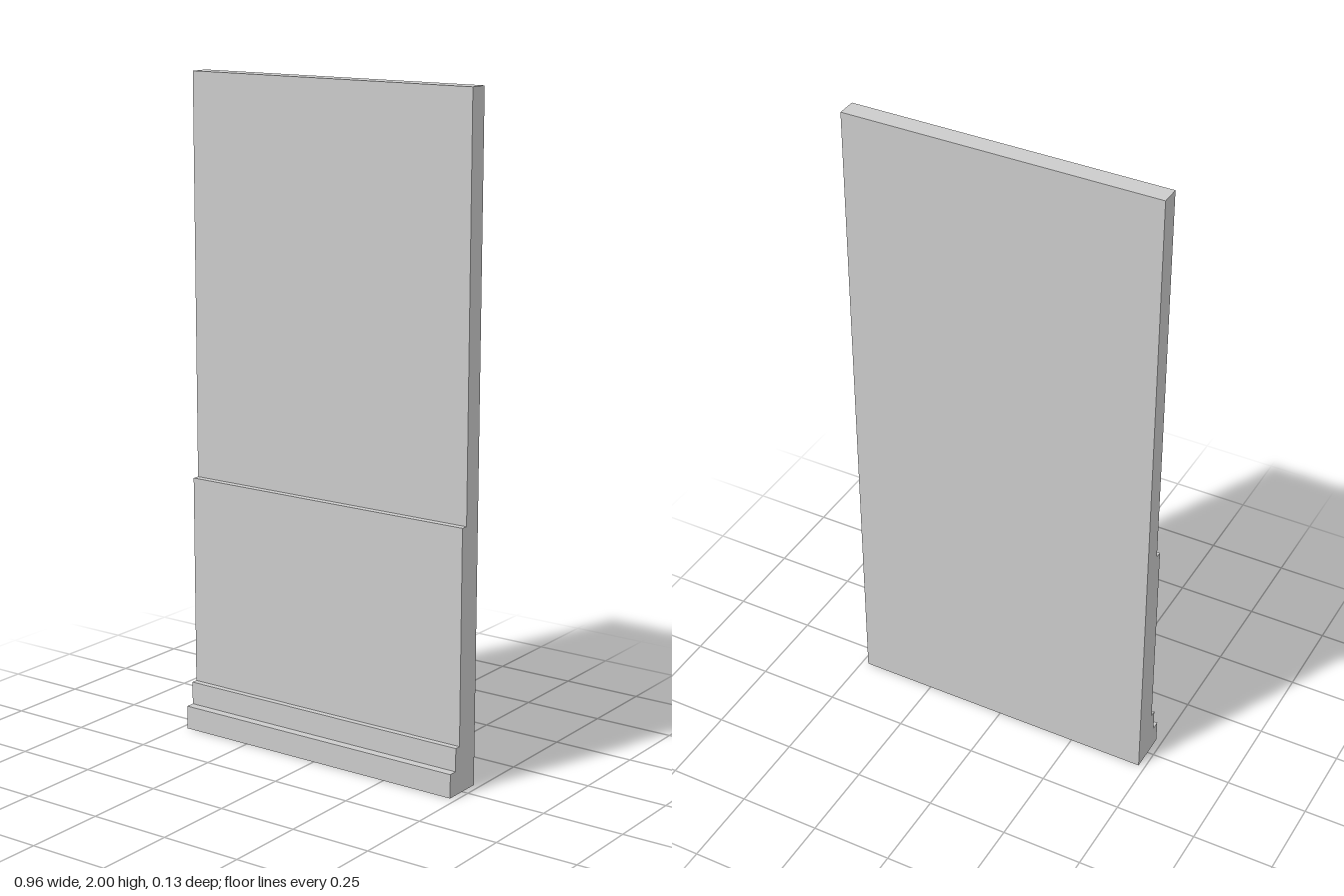
import * as THREE from 'three';

const WIDTH = 0.96;
const BACK = -0.063;

// Front steps from the floor up: [front z, top y]
const STEPS = [
  [0.063, 0.072],  // plinth
  [0.036, 0.142],  // skirting
  [0.017, 0.785],  // lower panel
  [-0.004, 2],     // upper wall
];

export function createModel() {
  const group = new THREE.Group();
  group.name = 'steppedWallPanel';

  // Side profile: x is depth, y is height
  const profile = new THREE.Shape();
  profile.moveTo(BACK, 0);
  let bottom = 0;
  for (const [front, top] of STEPS) {
    profile.lineTo(front, bottom);
    profile.lineTo(front, top);
    bottom = top;
  }
  profile.lineTo(BACK, bottom);
  profile.closePath();

  // Sweep the profile across the width, then turn its depth to +z
  const geometry = new THREE.ExtrudeGeometry(profile, { depth: WIDTH, bevelEnabled: false });
  geometry.translate(0, 0, -WIDTH / 2);
  geometry.rotateY(-Math.PI / 2);

  const wall = new THREE.Mesh(geometry, new THREE.MeshStandardMaterial({ color: 0xcccccc }));
  wall.name = 'wall';
  group.add(wall);
  return group;
}
